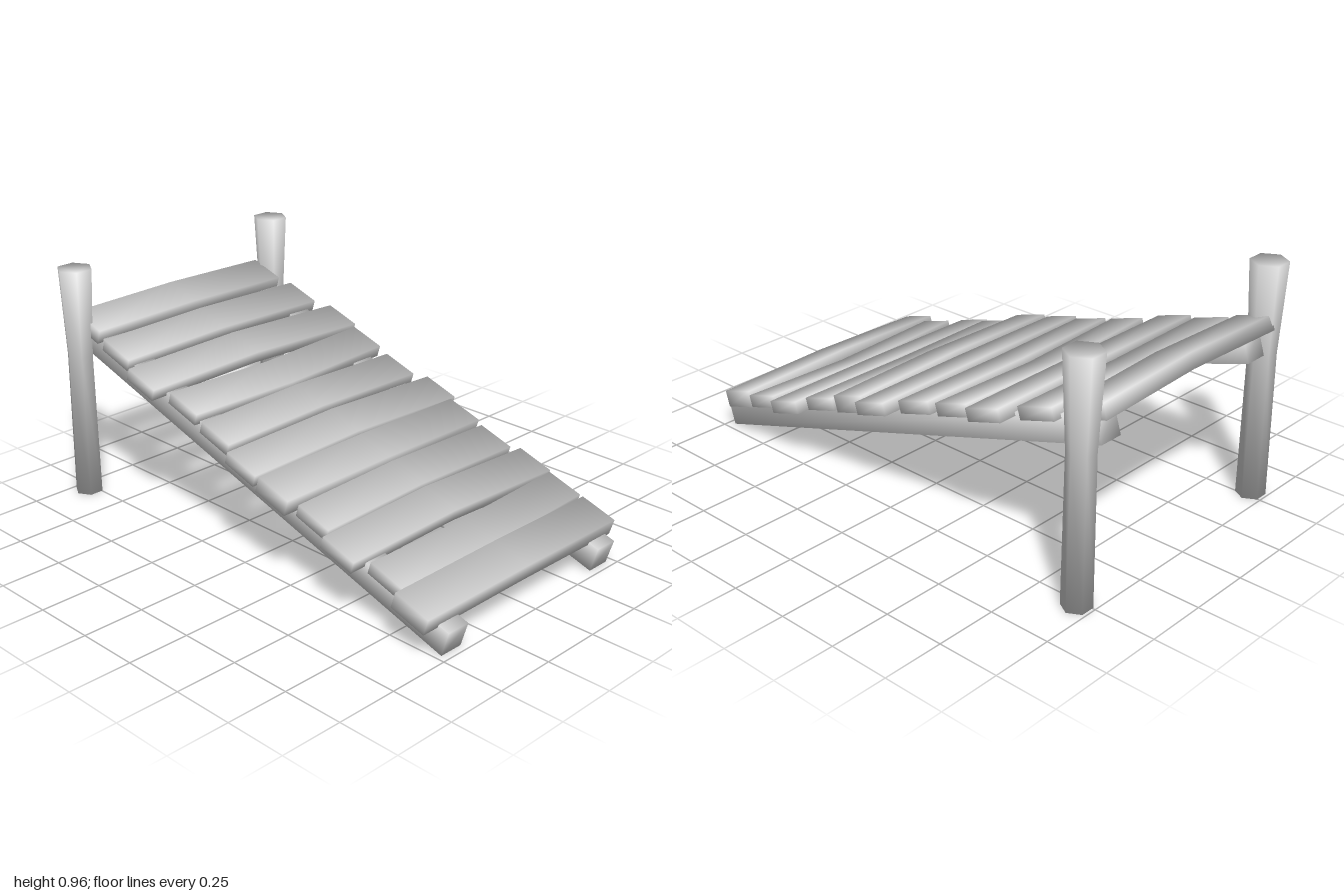
import * as THREE from 'three';
import { mergeVertices } from 'three/addons/utils/BufferGeometryUtils.js';

const material = new THREE.MeshStandardMaterial({ color: 0xcccccc });
const SLOPE = 0.305;

// Weld all corners and weight normals by corner angle, so every edge is shaded round
function soften(geometry) {
  geometry.deleteAttribute('normal');
  geometry.deleteAttribute('uv');
  const welded = mergeVertices(geometry, 1e-4);
  const { position } = welded.attributes;
  const index = welded.index;
  const normals = Array.from({ length: position.count }, () => new THREE.Vector3());
  for (let f = 0; f < index.count; f += 3) {
    const ids = [0, 1, 2].map((k) => index.getX(f + k));
    const pts = ids.map((id) => new THREE.Vector3().fromBufferAttribute(position, id));
    const faceNormal = new THREE.Triangle(...pts).getNormal(new THREE.Vector3());
    ids.forEach((id, k) => {
      const a = pts[(k + 1) % 3].clone().sub(pts[k]);
      const b = pts[(k + 2) % 3].clone().sub(pts[k]);
      normals[id].addScaledVector(faceNormal, a.angleTo(b));
    });
  }
  const flat = normals.flatMap((n) => n.normalize().toArray());
  welded.setAttribute('normal', new THREE.Float32BufferAttribute(flat, 3));
  return welded;
}

function addPart(parent, name, geometry, x, y, z, tilt = 0) {
  const mesh = new THREE.Mesh(soften(geometry), material);
  mesh.name = name;
  mesh.position.set(x, y, z);
  mesh.rotation.x = tilt;
  parent.add(mesh);
}

// Plank bent at its middle: lift raises the middle, sweep pushes it in z, skew turns the plank
function plankGeometry({ left, right, thick, lift, sweep, skew }) {
  const geometry = new THREE.BoxGeometry(right - left, thick, 0.158, 2, 1, 1);
  const p = geometry.attributes.position;
  const half = (right - left) / 2;
  for (let i = 0; i < p.count; i++) {
    const t = p.getX(i) / half;
    const bow = 1 - Math.abs(t);
    p.setY(i, p.getY(i) + lift * bow);
    p.setZ(i, p.getZ(i) + sweep * bow + skew * t);
  }
  geometry.translate((left + right) / 2, 0, 0);
  return geometry;
}

// Hexagonal post, slightly waisted and flared at the top
function postGeometry() {
  const rings = [[0, 0.058], [0.6, 0.054], [0.965, 0.0725]];
  const corners = Array.from({ length: 6 }, (_, i) =>
    new THREE.Vector2(Math.cos(i * Math.PI / 3), Math.sin(i * Math.PI / 3)));
  const geometry = new THREE.ExtrudeGeometry(new THREE.Shape(corners),
    { depth: 2, steps: 2, bevelEnabled: false });
  geometry.rotateX(-Math.PI / 2);
  const p = geometry.attributes.position;
  for (let i = 0; i < p.count; i++) {
    const [y, r] = rings[Math.round(p.getY(i))];
    p.setXYZ(i, p.getX(i) * r, y, p.getZ(i) * r);
  }
  return geometry;
}

export function createModel() {
  const group = new THREE.Group();
  group.name = 'woodenRamp';

  // Sloping beams under the deck
  for (const [name, x] of [['leftBeam', 0.417], ['rightBeam', -0.428]]) {
    addPart(group, name, new THREE.BoxGeometry(0.1, 0.105, 2.04), x, 0.357, 0.012, SLOPE);
  }

  // Posts at the high end
  addPart(group, 'leftPost', postGeometry(), 0.5245, 0, -0.938);
  addPart(group, 'rightPost', postGeometry(), -0.5265, 0, -0.938);

  // Plank shapes, repeated up the ramp
  const shapes = {
    wide: { left: -0.55, right: 0.541, thick: 0.05, lift: 0.007, sweep: -0.014, skew: 0.006 },
    narrow: { left: -0.514, right: 0.502, thick: 0.05, lift: 0, sweep: -0.015, skew: 0 },
    sagging: { left: -0.504, right: 0.515, thick: 0.05, lift: -0.015, sweep: 0.002, skew: -0.006 },
    thick: { left: -0.55, right: 0.502, thick: 0.068, lift: 0.01, sweep: 0.002, skew: 0.002 },
    last: { left: -0.505, right: 0.47, thick: 0.06, lift: 0.014, sweep: 0.003, skew: 0 },
  };
  const planks = [
    ['thick', 0.158, 0.885], ['sagging', 0.207, 0.722], ['wide', 0.251, 0.545],
    ['narrow', 0.308, 0.38], ['thick', 0.366, 0.21], ['wide', 0.417, 0.047],
    ['narrow', 0.474, -0.14], ['sagging', 0.537, -0.337], ['wide', 0.59, -0.52],
    ['narrow', 0.652, -0.72], ['last', 0.717, -0.912],
  ];
  planks.forEach(([shape, y, z], i) => {
    addPart(group, `plank${i + 1}`, plankGeometry(shapes[shape]), 0, y, z, SLOPE);
  });

  return group;
}
